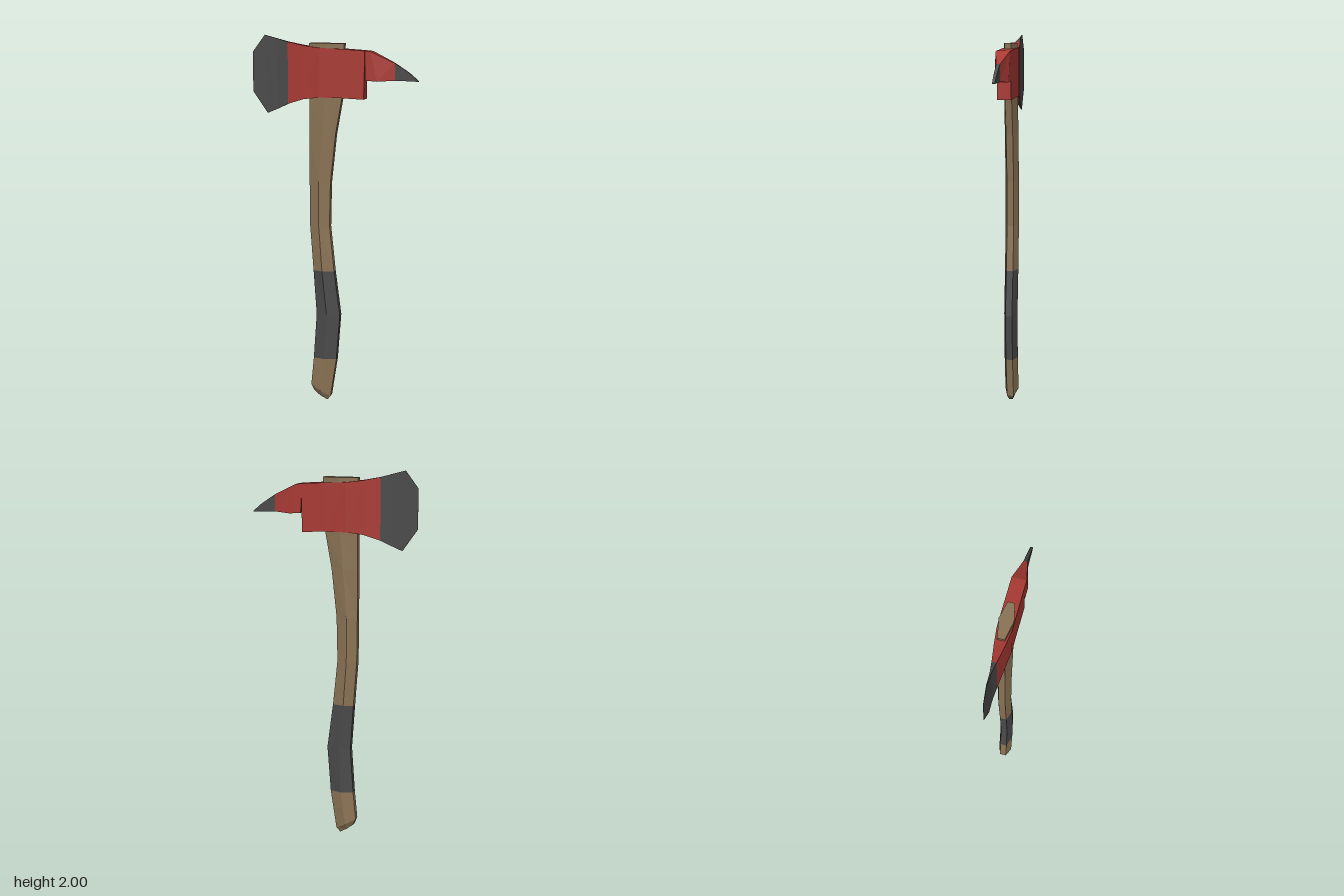
import * as THREE from 'three';

const material = (name, color) => {
  const m = new THREE.MeshStandardMaterial({ color });
  m.name = name;
  return m;
};

// Joins rings of equal point count into a closed, flat-shaded solid.
function loft(rings) {
  const n = rings[0].length, tris = [];
  for (let r = 0; r < rings.length - 1; r++) {
    for (let i = 0; i < n; i++) {
      const j = (i + 1) % n, a = rings[r], b = rings[r + 1];
      tris.push([a[i], a[j], b[j]], [a[i], b[j], b[i]]);
    }
  }
  const first = rings[0], last = rings[rings.length - 1];
  for (let i = 1; i < n - 1; i++) {
    tris.push([first[0], first[i + 1], first[i]], [last[0], last[i], last[i + 1]]);
  }
  // Turn the faces outward if the enclosed volume is negative
  const vec = (p) => new THREE.Vector3(...p);
  const volume = tris.reduce((s, [a, b, c]) => s + vec(a).dot(vec(b).cross(vec(c))), 0);
  if (volume < 0) tris.forEach((t) => t.reverse());
  const geometry = new THREE.BufferGeometry();
  geometry.setAttribute('position', new THREE.Float32BufferAttribute(tris.flat(2), 3));
  geometry.computeVertexNormals();
  return geometry;
}

// Hexagonal handle section: back edge, side ridge and front edge, each [x, y]
const hexRing = ([x0, y0], [xm, ym], [x1, y1], edge = 0.018, ridge = 0.037) => [
  [x0, y0, edge], [xm, ym, ridge], [x1, y1, edge],
  [x1, y1, -edge], [xm, ym, -ridge], [x0, y0, -edge],
];
const level = (y, x0, xm, x1) => hexRing([x0, y], [xm, y], [x1, y]);

// Four-cornered head section: top [x, y], bottom [x, y], half thickness
const headRing = ([xt, yt], [xb, yb], ht, hb = ht) => [
  [xt, yt, ht], [xt, yt, -ht], [xb, yb, -hb], [xb, yb, hb],
];

export function createModel() {
  const wood = material('wood', 0x8b7355);
  const steel = material('darkGrey', 0x4a4a4a);
  const red = material('redPaint', 0xaa3a34);

  const axe = new THREE.Group();
  axe.name = 'axe';
  const add = (name, mat, rings) => {
    const mesh = new THREE.Mesh(loft(rings), mat);
    mesh.name = name;
    axe.add(mesh);
  };

  // Curved handle in three lengths sharing their end sections
  const gripTop = level(0.735, -0.115, -0.063, 0.0);
  const gripBottom = level(0.24, -0.115, -0.05, 0.013);
  add('upperHandle', wood, [
    level(1.96, -0.135, -0.035, 0.055),
    level(1.67, -0.135, -0.045, 0.042),
    level(1.48, -0.135, -0.06, 0.008),
    level(1.22, -0.135, -0.08, -0.02),
    level(0.98, -0.133, -0.08, -0.025),
    gripTop,
  ]);
  add('grip', steel, [gripTop, level(0.49, -0.098, -0.037, 0.032), gripBottom]);
  add('handleEnd', wood, [
    gripBottom,
    hexRing([-0.13, 0.085], [-0.075, 0.055], [-0.02, 0.025]),
    hexRing([-0.115, 0.05], [-0.08, 0.025], [-0.04, 0], 0.01, 0.02),
  ]);

  // Painted head, with the socket block reaching lower than the neck of the spike
  const bladeRoot = headRing([-0.255, 1.965], [-0.255, 1.637], 0.012);
  const spikeRoot = headRing([0.325, 1.86], [0.325, 1.77], 0.01);
  add('headBody', red, [
    bladeRoot,
    headRing([-0.165, 1.947], [-0.165, 1.665], 0.026),
    headRing([-0.075, 1.936], [-0.075, 1.676], 0.037),
    headRing([0.05, 1.931], [0.03, 1.676], 0.037),
    headRing([0.17, 1.923], [0.165, 1.67], 0.037),
  ]);
  add('spikeNeck', red, [
    headRing([0.17, 1.923], [0.172, 1.77], 0.037),
    headRing([0.2, 1.92], [0.235, 1.765], 0.037),
    spikeRoot,
  ]);

  // Bare steel cutting edge and spike
  add('blade', steel, [
    bladeRoot,
    headRing([-0.32, 1.983], [-0.315, 1.609], 0.004),
    headRing([-0.385, 2.0], [-0.372, 1.585], 0.002),
    headRing([-0.453, 1.91], [-0.453, 1.7], 0.0005),
  ]);
  add('spike', steel, [
    spikeRoot,
    headRing([0.4, 1.811], [0.4, 1.768], 0.008),
    headRing([0.45, 1.769], [0.45, 1.766], 0.007),
  ]);

  return axe;
}
